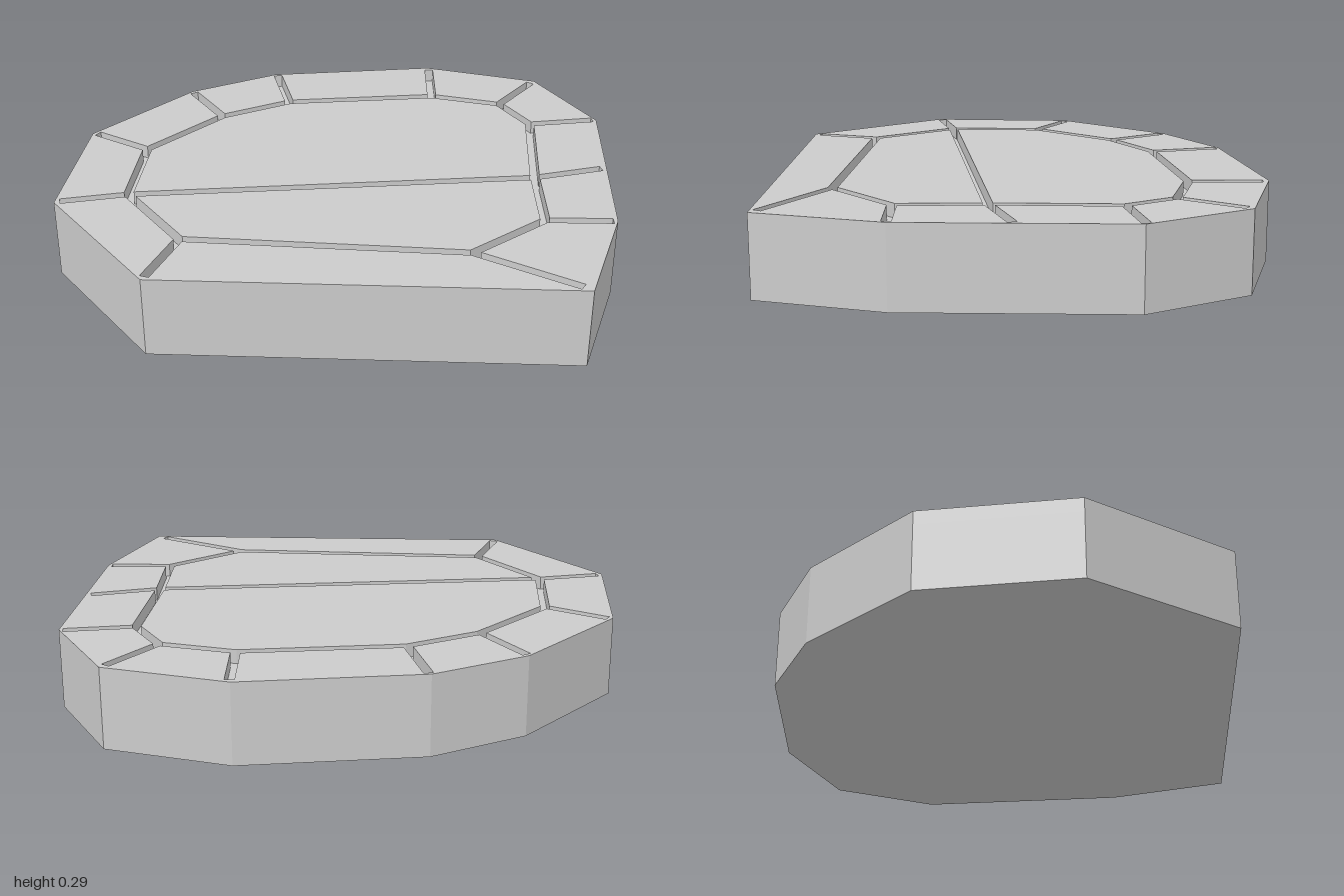
import * as THREE from 'three';

const HEIGHT = 0.29, DEPTH = 0.05, HALF = 0.0165; // slab height, groove depth, half groove width

// Outer outline as [x, z]
const outline = [[-0.62, 0.84], [0.83, 0.87], [0.97, 0.42], [1, -0.38], [0.79, -0.75],
  [0.35, -0.875], [-0.29, -0.79], [-0.62, -0.61], [-0.96, -0.21], [-1, 0.34]];

// Groove ring: corner [x, z], then the outer end of the groove leaving it
const ring = [
  [-0.527, 0.58, -0.61, 0.82], [0.457, 0.644, 0.80, 0.845], [0.72, 0.42, 0.955, 0.42],
  [0.714, 0.107, 0.965, 0.03], [0.735, -0.34, 0.985, -0.383], [0.628, -0.52, 0.773, -0.73],
  [0.36, -0.59, 0.355, -0.853], [-0.217, -0.52, -0.28, -0.778], [-0.473, -0.38, -0.612, -0.596],
  [-0.73, -0.085, -0.94, -0.21], [-0.748, 0.273, -0.981, 0.329]];

const point = (x, z) => new THREE.Vector2(x, -z);
const corners = ring.map(([x, z]) => point(x, z));
const ends = ring.map(([, , x, z]) => point(x, z));

// Unit normal on the right-hand side of the line a -> b
function rightNormal(a, b) {
  const d = b.clone().sub(a).normalize();
  return new THREE.Vector2(d.y, -d.x);
}

// Corner b of the path a -> b -> c, moved sideways by w with a mitre
function mitre(a, b, c, w) {
  const n1 = rightNormal(a, b), n2 = rightNormal(b, c);
  const k = w / (1 + n1.dot(n2));
  return b.clone().add(n1.add(n2).multiplyScalar(k));
}

const inset = (pts) => pts.map((p, i) =>
  mitre(pts[(i + pts.length - 1) % pts.length], p, pts[(i + 1) % pts.length], -HALF));

// Outer edge of the groove network: the ring with a spur at every corner
function grooveEdge() {
  const n = corners.length;
  return corners.flatMap((c, i) => {
    const end = ends[i], side = rightNormal(c, end).multiplyScalar(HALF);
    return [
      mitre(corners[(i + n - 1) % n], c, end, HALF),
      end.clone().add(side),
      end.clone().sub(side),
      mitre(end, c, corners[(i + 1) % n], HALF),
    ];
  });
}

export function createModel() {
  const group = new THREE.Group();
  group.name = 'groovedStoneSlab';
  const material = new THREE.MeshStandardMaterial({ color: 0xcccccc, flatShading: true });

  function addLayer(name, shape, y, height) {
    const geometry = new THREE.ExtrudeGeometry(shape, { depth: height, bevelEnabled: false });
    geometry.rotateX(-Math.PI / 2);
    geometry.translate(0, y, 0);
    const mesh = new THREE.Mesh(geometry, material);
    mesh.name = name;
    group.add(mesh);
  }

  const outer = outline.map(([x, z]) => point(x, z));
  const floor = HEIGHT - DEPTH;

  // Solid body up to the groove floor
  addLayer('base', new THREE.Shape(outer), 0, floor);

  // Raised rim blocks around the grooves
  const rim = new THREE.Shape(outer);
  rim.holes.push(new THREE.Path(grooveEdge()));
  addLayer('rim', rim, floor, DEPTH);

  // Two inner panels parted by the long cross groove
  const front = [corners[10], ...corners.slice(0, 4)];
  const back = corners.slice(3);
  addLayer('frontPanel', new THREE.Shape(inset(front)), floor, DEPTH);
  addLayer('backPanel', new THREE.Shape(inset(back)), floor, DEPTH);

  return group;
}
